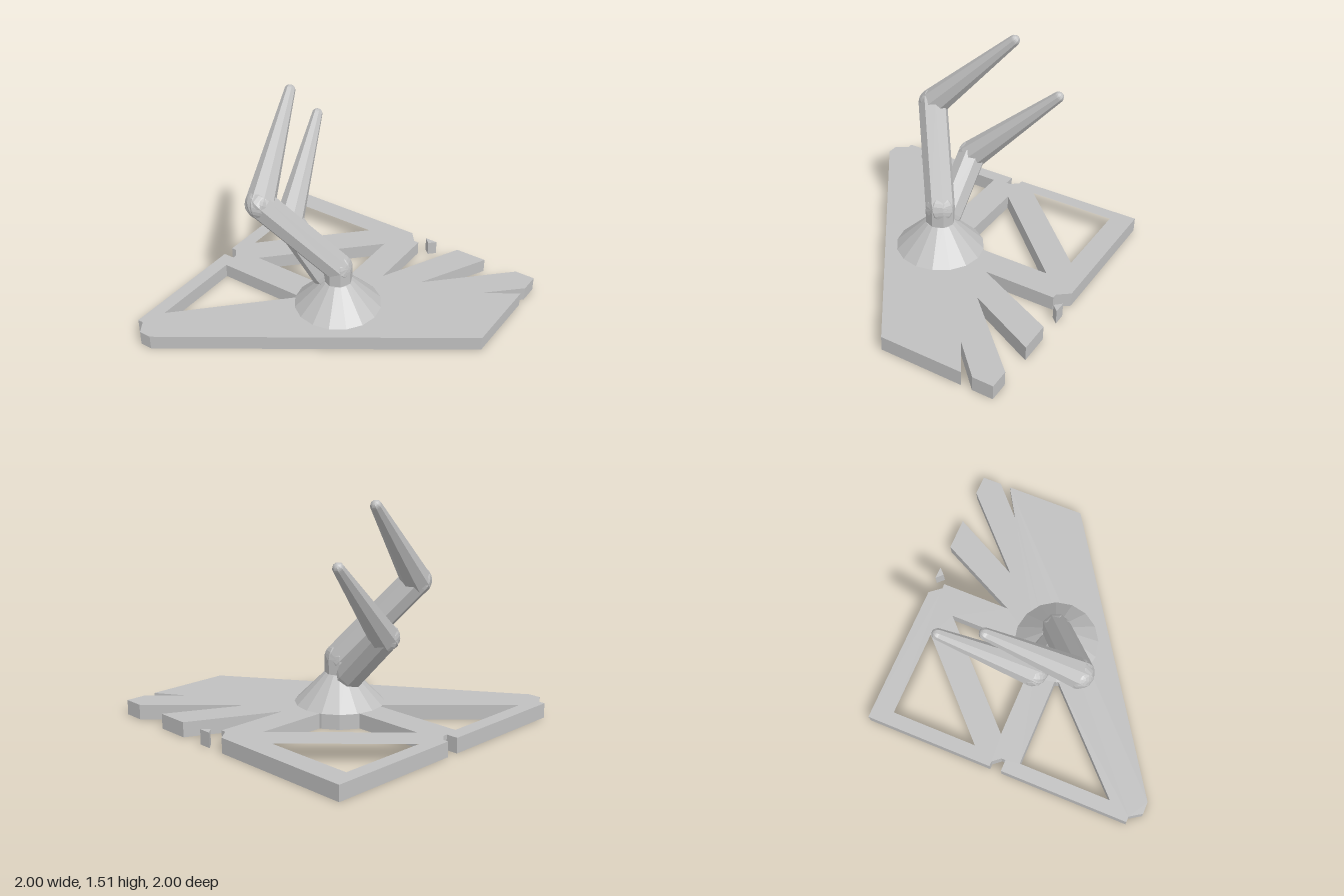
import * as THREE from 'three';

const gray = new THREE.MeshStandardMaterial({ color: 0xc0c0c0, flatShading: true });
gray.name = 'plain gray';

const V = (x, y, z) => new THREE.Vector3(x, y, z);

function add(parent, name, geometry) {
  const mesh = new THREE.Mesh(geometry, gray);
  mesh.name = name;
  parent.add(mesh);
  return mesh;
}

// Flat plate on the ground from [x, z] outlines
function plate(outline, holes = []) {
  const points = (list) => list.map(([x, z]) => new THREE.Vector2(x, -z));
  const shape = new THREE.Shape(points(outline));
  holes.forEach((h) => shape.holes.push(new THREE.Path(points(h))));
  return new THREE.ExtrudeGeometry(shape, { depth: 0.1, bevelEnabled: false }).rotateX(-Math.PI / 2);
}

// Eight-sided tapered limb with rounded ends
function limb(parent, name, from, to, r0, r1) {
  const dir = to.clone().sub(from);
  const length = dir.length();
  const group = new THREE.Group();
  group.name = name;
  add(group, name + 'Shaft', new THREE.CylinderGeometry(r1, r0, length, 8, 1, true).translate(0, length / 2, 0));
  add(group, name + 'LowerEnd', new THREE.SphereGeometry(r0, 8, 12).rotateY(Math.PI / 2));
  add(group, name + 'UpperEnd', new THREE.SphereGeometry(r1, 8, 12).rotateY(Math.PI / 2).translate(0, length, 0));
  group.position.copy(from);
  group.quaternion.setFromUnitVectors(V(0, 1, 0), dir.normalize());
  parent.add(group);
}

export function createModel() {
  const model = new THREE.Group();
  model.name = 'branchedStand';

  // Notched base plate with three triangular openings
  add(model, 'basePlate', plate(
    [
      [-1, -1], [0, -1], [0.065, -0.92], [0.1, -0.92], [0.1, -0.42], [0.385, -1],
      [0.61, -1], [0.36, -0.51], [0.86, -1], [1, -1], [1, -0.86], [0.78, -0.65],
      [1, -0.785], [1, -0.215], [-0.82, 1], [-0.905, 1], [-0.96, 0.915], [-1, 0.915],
      [-1, 0], [-0.92, 0], [-0.92, -0.03], [-0.965, -0.085], [-1, -0.085],
    ],
    [
      [[-0.905, -0.85], [-0.29, -0.85], [-0.905, -0.235]],
      [[-0.1, -0.765], [-0.765, -0.1], [-0.1, -0.1]],
      [[-0.905, 0.1], [-0.905, 0.76], [-0.245, 0.1]],
    ],
  ));
  add(model, 'plateChip', plate([[0.12, -1], [0.21, -1], [0.165, -0.955]]));

  // Conical foot and short column
  add(model, 'footDisc', new THREE.CylinderGeometry(0.3, 0.3, 0.1, 16).translate(0, 0.05, 0));
  add(model, 'footCone', new THREE.CylinderGeometry(0.1, 0.3, 0.2, 16).translate(0, 0.2, 0));
  limb(model, 'column', V(0, 0.28, 0), V(0, 0.4, 0), 0.1, 0.1);

  // Two bent arms, each a straight lower limb and a tapered upper limb
  const arms = [
    ['tallArm', V(0, 0.4, 0), V(-0.39, 0.93, 0.31), V(-0.53, 1.475, -0.225)],
    ['shortArm', V(-0.1, 0.3, 0), V(-0.4, 0.61, 0), V(-0.548, 1.15, -0.555)],
  ];
  for (const [name, root, elbow, tip] of arms) {
    limb(model, name + 'Lower', root, elbow, 0.1, 0.1);
    limb(model, name + 'Upper', elbow, tip, 0.1, 0.037);
  }
  return model;
}
